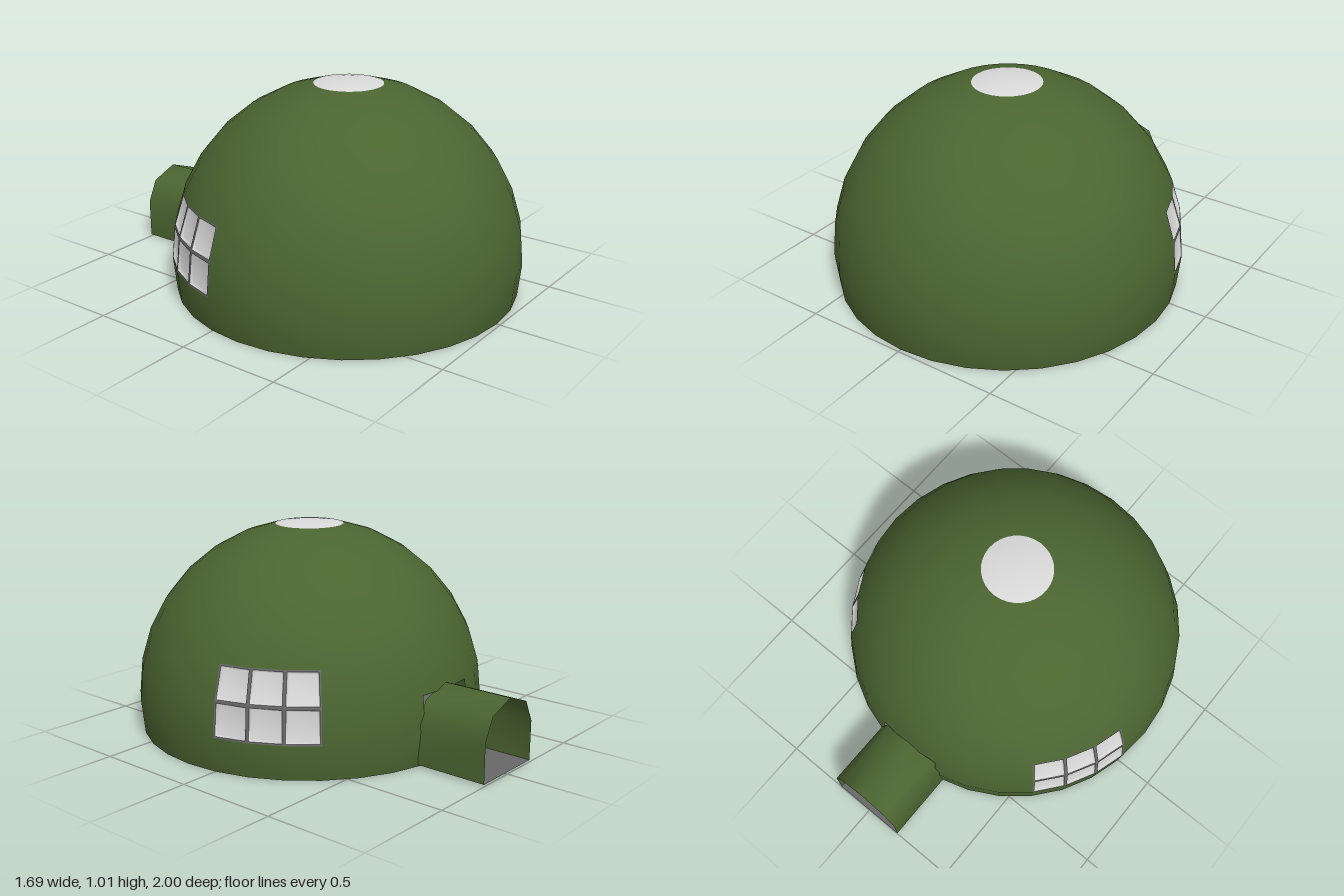
import * as THREE from 'three';

const R = 0.843, CY = 0.165, CZ = 0.157; // dome sphere
const STEP = Math.PI / 16; // one facet of the dome

function material(name, color) {
  const m = new THREE.MeshStandardMaterial({ color, side: THREE.DoubleSide });
  m.name = name;
  return m;
}

// Point on the dome: az counts facets from the side towards the back, ring counts down from the top
function domePoint(az, ring, side) {
  const a = az * STEP, t = ring * STEP;
  return new THREE.Vector3(
    side * R * Math.sin(t) * Math.cos(a),
    CY + R * Math.cos(t),
    CZ - R * Math.sin(t) * Math.sin(a));
}

// Indexed geometry from points and faces
function faces(points, index) {
  const g = new THREE.BufferGeometry().setFromPoints(points);
  g.setIndex(index);
  g.computeVertexNormals();
  return g;
}

// Four quads joining loop a..a+3 to loop b..b+3
function ring(a, b) {
  const out = [];
  for (let i = 0; i < 4; i++) {
    const j = (i + 1) % 4;
    out.push(a + i, a + j, b + j, a + i, b + j, b + i);
  }
  return out;
}

export function createModel() {
  const root = new THREE.Group();
  const green = material('dome green', 0x4b6531);
  const glass = material('pale glass', 0xdadada);
  const grey = material('frame and floor grey', 0x686868);

  const add = (name, geometry, mat, parent = root) => {
    const m = new THREE.Mesh(geometry, mat);
    m.name = name;
    parent.add(m);
    return m;
  };

  // Dome shell, with the facets left out for skylight, windows and doorway
  const shell = new THREE.SphereGeometry(R, 32, 16, 0, Math.PI * 2, 0, STEP * 9);
  shell.dispose();
  const dome = new THREE.SphereGeometry(R, 32, 9, 0, Math.PI * 2, 0, STEP * 9);
  const pos = dome.attributes.position, idx = dome.index.array, kept = [];
  const c = new THREE.Vector3(), v = new THREE.Vector3();
  for (let i = 0; i < idx.length; i += 3) {
    c.set(0, 0, 0);
    for (let k = 0; k < 3; k++) c.add(v.fromBufferAttribute(pos, idx[i + k]));
    c.normalize();
    const row = Math.floor(Math.acos(c.y) / STEP);
    const az = Math.floor(Math.atan2(-c.z, Math.abs(c.x)) / STEP);
    const skylight = row < 1;
    const window = az >= 1 && az < 4 && (row === 6 || row === 7);
    const doorway = az >= 7 && row >= 7;
    if (!skylight && !window && !doorway) kept.push(idx[i], idx[i + 1], idx[i + 2]);
  }
  dome.setIndex(kept);
  add('domeShell', dome, green).position.set(0, CY, CZ);

  // Skylight cap
  add('skylight', new THREE.SphereGeometry(R, 32, 1, 0, Math.PI * 2, 0, STEP), glass)
    .position.set(0, CY, CZ);

  // Floor disc
  const floor = add('domeFloor', new THREE.CircleGeometry(R * Math.sin(STEP * 9), 32), grey);
  floor.rotation.x = Math.PI / 2;
  floor.position.set(0, 0.001, CZ);

  // Side windows: three by two recessed panes, each in its own frame
  for (const side of [1, -1]) {
    const win = new THREE.Group();
    win.name = side > 0 ? 'leftWindow' : 'rightWindow';
    root.add(win);
    for (let az = 1; az < 4; az++) {
      for (let row = 6; row < 8; row++) {
        const outer = [[az, row], [az, row + 1], [az + 1, row + 1], [az + 1, row]]
          .map(([a, t]) => domePoint(a, t, side));
        if (side < 0) outer.reverse();
        const mid = new THREE.Vector3();
        outer.forEach((p) => mid.addScaledVector(p, 0.25));
        const inward = new THREE.Vector3(0, CY, CZ).sub(mid).normalize();
        const inset = (t, depth) => outer.map((p) => p.clone().lerp(mid, t).addScaledVector(inward, depth));
        const lip = inset(0.1, 0);
        add('windowFrame', faces([...outer, ...lip], ring(0, 4)), grey, win);
        add('windowPane', faces([...lip, ...inset(0.2, 0.015)],
          [...ring(0, 4), 4, 5, 6, 4, 6, 7]), glass, win);
      }
    }
  }

  // Entrance tunnel: arched skin swept from the dome to the back
  const W = 0.187, Z0 = -0.65, Z1 = -1;
  const arch = [[W, 0.01], [W, 0.2], [0.135, 0.305], [0, 0.355], [-0.135, 0.305], [-W, 0.2], [-W, 0.01]];
  const pts = [], tri = [];
  arch.forEach(([x, y], i) => {
    pts.push(new THREE.Vector3(x, y, Z0), new THREE.Vector3(x, y, Z1));
    if (i) {
      const a = 2 * i - 2;
      tri.push(a, a + 1, a + 3, a, a + 3, a + 2);
    }
  });
  // Sweep runs over the top, so flip the corners to face outward
  tri.reverse();
  add('entranceTunnel', faces(pts, tri), green);

  // Tunnel floor
  const path = add('tunnelFloor', new THREE.PlaneGeometry(2 * W, Z0 - Z1), grey);
  path.rotation.x = Math.PI / 2;
  path.position.set(0, 0.01, (Z0 + Z1) / 2);

  return root;
}
